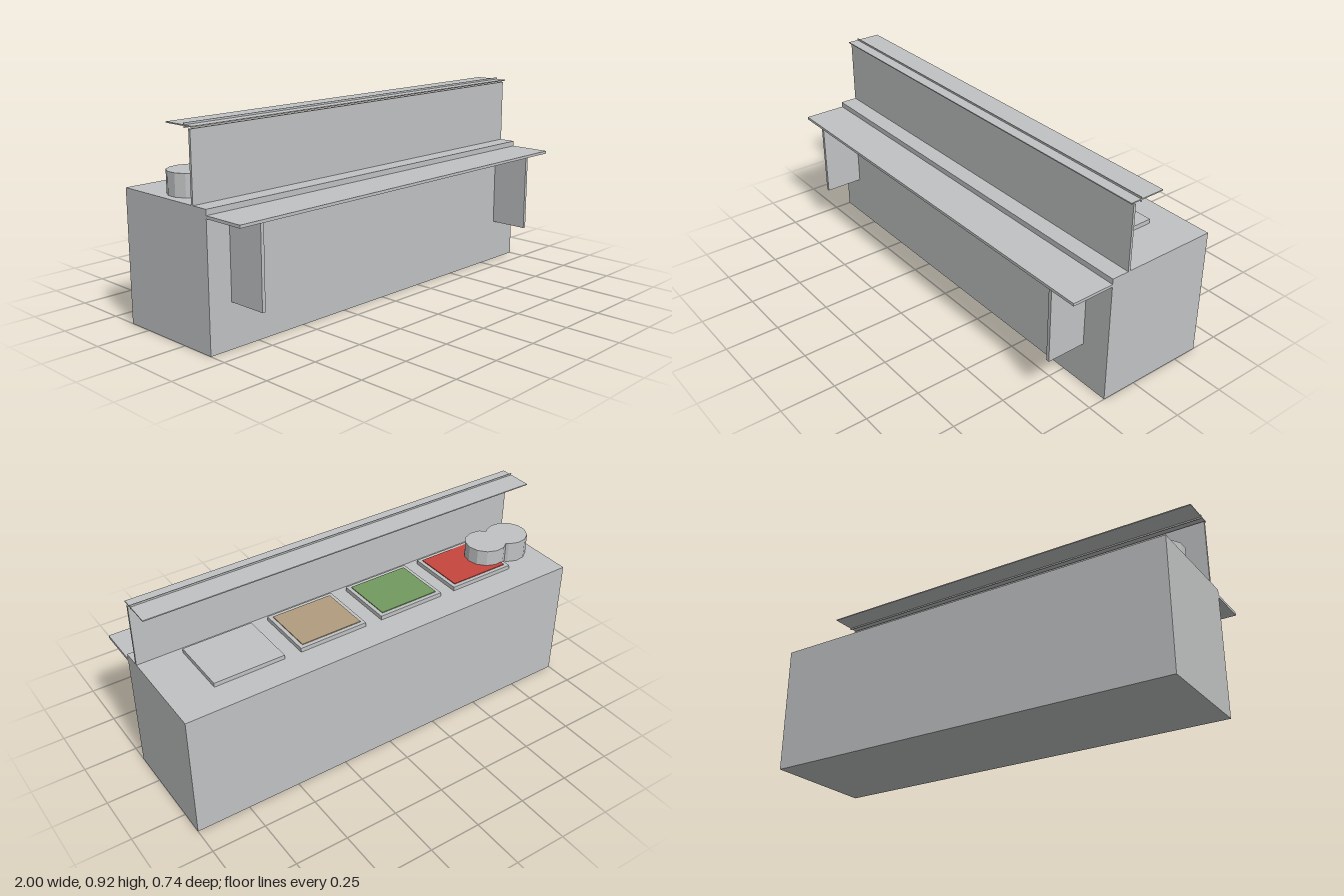
import * as THREE from 'three';

const material = (name, color) => {
  const m = new THREE.MeshStandardMaterial({ color });
  m.name = name;
  return m;
};

export function createModel() {
  const group = new THREE.Group();
  const grey = material('grey', 0xc1c2c3);
  const red = material('red', 0xc6463e);
  const green = material('green', 0x729a60);
  const tan = material('tan', 0xb19c7f);

  const add = (name, geometry, mat) => {
    const mesh = new THREE.Mesh(geometry, mat);
    mesh.name = name;
    group.add(mesh);
    return mesh;
  };
  // Box given by its limits along each axis
  const box = (name, [x0, x1], [y0, y1], [z0, z1], mat = grey) =>
    add(name, new THREE.BoxGeometry(x1 - x0, y1 - y0, z1 - z0), mat)
      .position.set((x0 + x1) / 2, (y0 + y1) / 2, (z0 + z1) / 2);

  const full = [-1, 1];

  // Counter and the front tray rail on two brackets
  box('counterBody', full, [0, 0.6], [-0.368, 0.168]);
  box('frontShelf', full, [0.562, 0.575], [0.168, 0.368]);
  for (const x of [-0.88, 0.852])
    box('shelfBracket', [x - 0.008, x + 0.008], [0.2, 0.562], [0.168, 0.354]);

  // Upright guard with the top shelf and its thin rail
  box('guardPanel', full, [0.6, 0.9], [0.076, 0.087]);
  box('topShelf', full, [0.907, 0.912], [-0.067, 0.1]);
  box('topRail', full, [0.9, 0.92], [0.046, 0.05]);

  // Row of trays; the first three are filled
  [-0.609, -0.199, 0.218, 0.633].forEach((x, i) => {
    box('tray', [x - 0.167, x + 0.167], [0.6, 0.62], [-0.233, 0.047]);
    const fill = [red, green, tan][i];
    if (fill) box('trayFilling', [x - 0.149, x + 0.149], [0.619, 0.624], [-0.215, 0.028], fill);
  });

  // Two overlapping faceted stacks of plates
  for (const x of [-0.868, -0.737]) {
    const geometry = new THREE.CylinderGeometry(0.098, 0.098, 0.1, 13).toNonIndexed();
    geometry.computeVertexNormals();
    const stack = add('plateStack', geometry, grey);
    stack.position.set(x, 0.65, -0.099);
    stack.rotation.y = Math.PI / 2;
  }

  return group;
}
